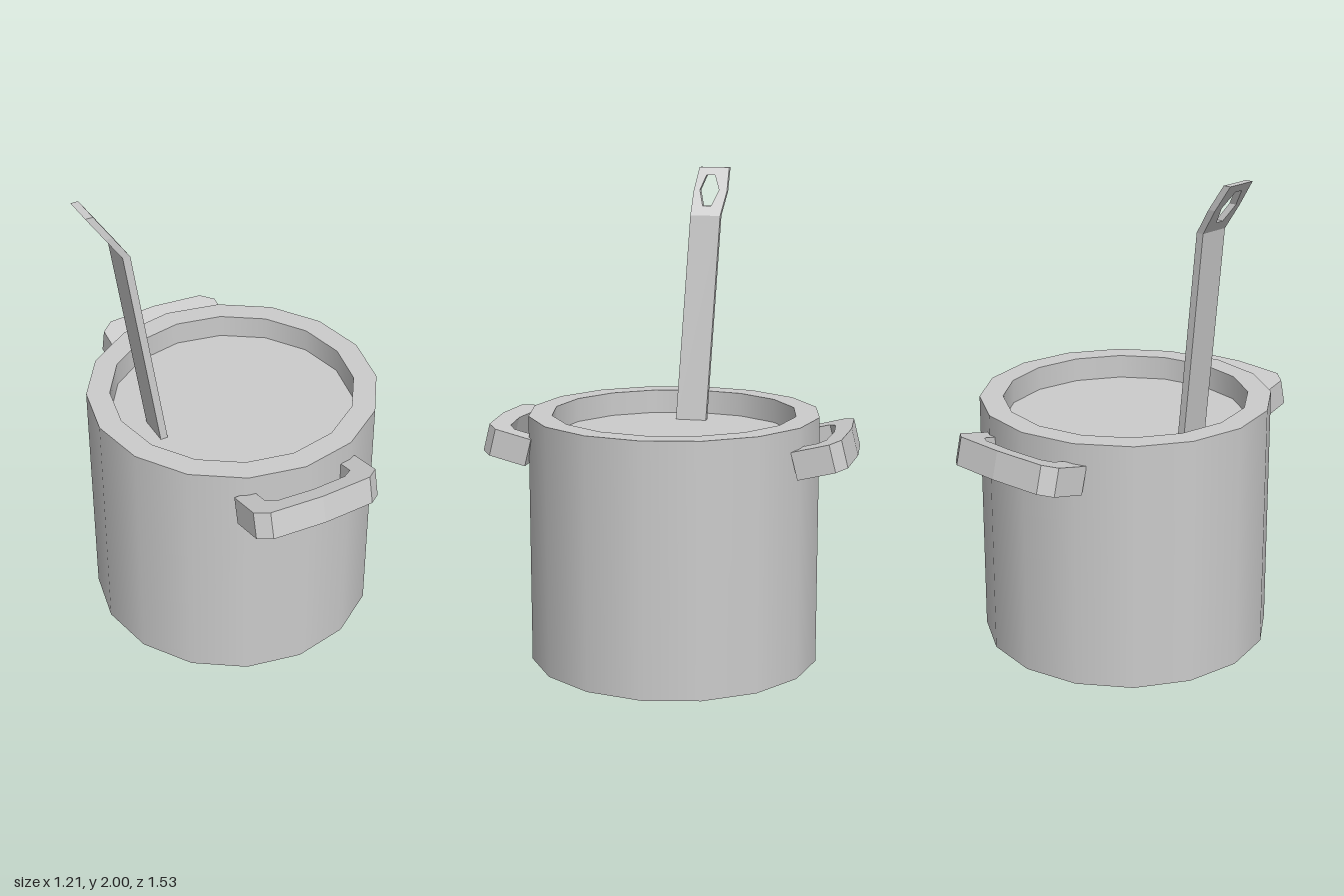
import * as THREE from 'three';

const material = new THREE.MeshStandardMaterial({ color: 0xcccccc, side: THREE.DoubleSide });
const flatMaterial = new THREE.MeshStandardMaterial({ color: 0xcccccc, flatShading: true, side: THREE.DoubleSide });

const HEIGHT = 1.03, RADIUS = 0.6, INNER = 0.504, FILL = 0.93, SIDES = 16;

function part(name, geometry, mat, parent) {
  const mesh = new THREE.Mesh(geometry, mat);
  mesh.name = name;
  parent.add(mesh);
  return mesh;
}

const points = (list) => list.map(([x, y]) => new THREE.Vector2(x, y));

// Closed U outline of a carrying handle, mirrored across its middle
function handleGeometry() {
  const outer = [[0.272, 0], [0.272, 0.154], [0.22, 0.197], [0, 0.213]];
  const inner = [[0, 0.14], [0.148, 0.128], [0.19, 0.098], [0.19, 0]];
  const mirror = (list) => list.filter(([x]) => x > 0).reverse().map(([x, y]) => [-x, y]);
  const shape = new THREE.Shape(points([...outer, ...mirror(outer), ...mirror(inner), ...inner]));
  return new THREE.ExtrudeGeometry(shape, { depth: 0.114, bevelEnabled: false });
}

// Strip drawn in (z, y), given thickness along x and leaned by xAt(y)
function strip(outline, hole, xAt) {
  const shape = new THREE.Shape(points(outline.map(([z, y]) => [-z, y])));
  if (hole) shape.holes.push(new THREE.Path(points(hole.map(([z, y]) => [-z, y]))));
  const g = new THREE.ExtrudeGeometry(shape, { depth: 0.031, bevelEnabled: false });
  g.rotateY(Math.PI / 2);
  const p = g.attributes.position;
  for (let i = 0; i < p.count; i++) p.setX(i, p.getX(i) + xAt(p.getY(i)));
  g.computeVertexNormals();
  return g;
}

export function createModel() {
  const model = new THREE.Group();
  model.name = 'cookingPot';

  // Pot: open-bottomed wall, flat rim, recessed contents
  const pot = new THREE.Group();
  pot.name = 'pot';
  pot.position.set(0.005, 0, -0.006);
  model.add(pot);
  part('outerWall', new THREE.CylinderGeometry(RADIUS, RADIUS, HEIGHT, SIDES, 1, true), material, pot)
    .position.y = HEIGHT / 2;
  part('innerWall', new THREE.CylinderGeometry(INNER, INNER, HEIGHT - FILL, SIDES, 1, true), material, pot)
    .position.y = (HEIGHT + FILL) / 2;
  part('rim', new THREE.RingGeometry(INNER, RADIUS, SIDES).rotateX(-Math.PI / 2), material, pot)
    .position.y = HEIGHT;
  part('contents', new THREE.CircleGeometry(INNER, SIDES).rotateX(-Math.PI / 2), material, pot)
    .position.y = FILL;

  // Two side handles, tilted upward away from the wall
  const tilt = THREE.MathUtils.degToRad(14);
  for (const [name, turn] of [['frontHandle', 0], ['backHandle', Math.PI]]) {
    const holder = new THREE.Group();
    holder.name = name;
    holder.rotation.y = turn;
    model.add(holder);
    const grip = part(name + 'Grip', handleGeometry(), flatMaterial, holder);
    grip.rotation.x = Math.PI / 2 - tilt;
    grip.position.set(-0.005, 0.94, 0.53);
  }

  // Ladle: long stem, then a bent tip with a hanging hole
  const ladle = new THREE.Group();
  ladle.name = 'ladle';
  model.add(ladle);
  part('ladleStem', strip(
    [[0.062, FILL], [-0.07, FILL], [-0.106, 1.8], [0.024, 1.8]], null,
    (y) => -0.473 + (1.8 - y) * 0.13), flatMaterial, ladle);
  part('ladleTip', strip(
    [[0.024, 1.8], [-0.106, 1.8], [-0.122, 1.9], [-0.119, 2], [0.012, 2], [0.024, 1.9]],
    [[-0.024, 1.968], [-0.061, 1.968], [-0.087, 1.905], [-0.061, 1.84], [-0.024, 1.84], [-0.003, 1.905]],
    (y) => -0.473 - (y - 1.8) * 0.675), flatMaterial, ladle);

  return model;
}
